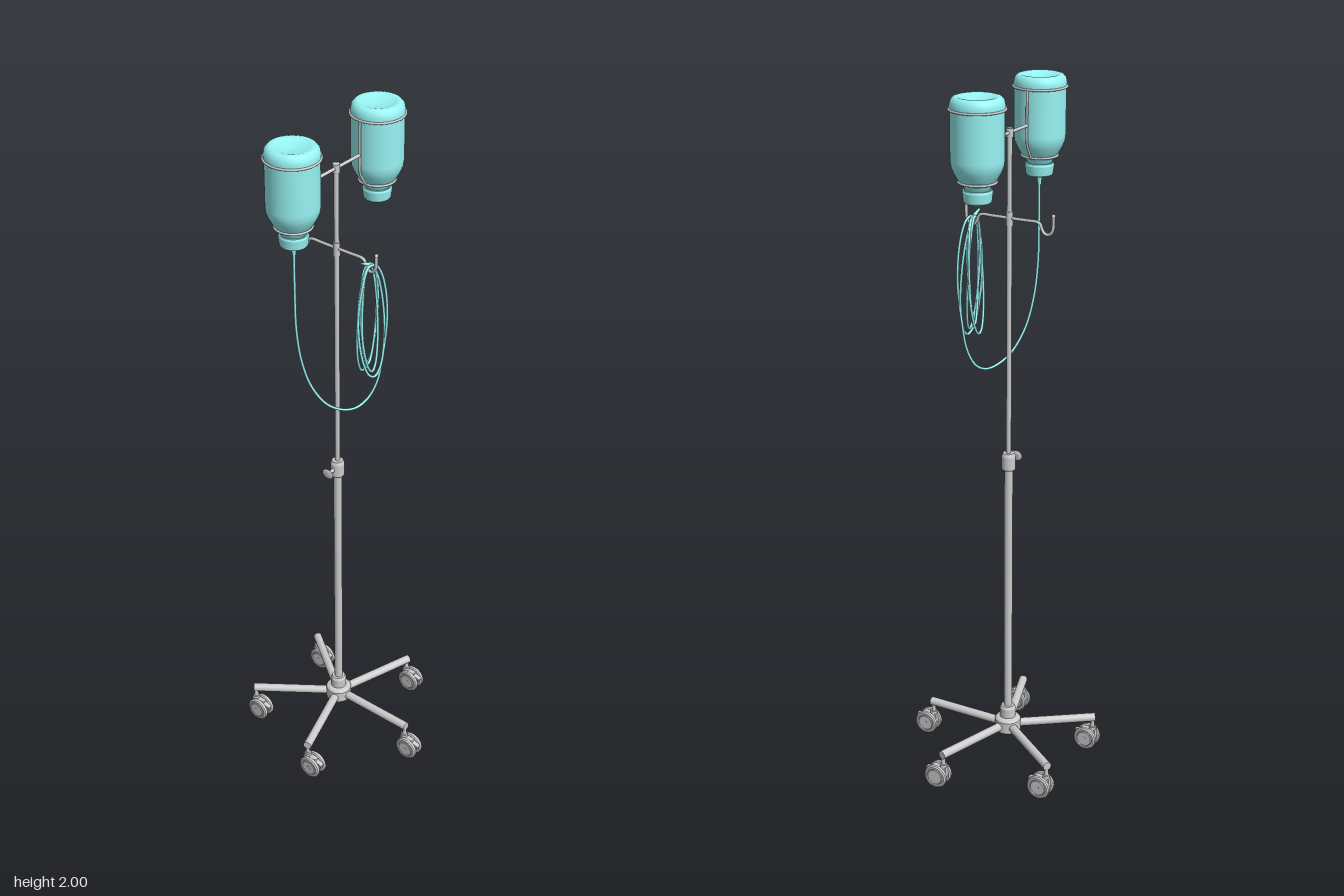
import * as THREE from 'three';

const PZ = -0.043; // z of the pole axis
const metal = new THREE.MeshStandardMaterial({ color: 0xcccccc });
const teal = new THREE.MeshStandardMaterial({ color: 0x99f5f5 });
const tealOpen = new THREE.MeshStandardMaterial({ color: 0x99f5f5, side: THREE.DoubleSide });
const V = (x, y, z) => new THREE.Vector3(x, y, z);

function add(parent, name, geometry, material = metal) {
  const mesh = new THREE.Mesh(geometry, material);
  mesh.name = name;
  parent.add(mesh);
  return mesh;
}

// Round bar between two points
function rod(parent, name, a, b, r, material = metal, r2 = r) {
  const d = b.clone().sub(a);
  const mesh = add(parent, name, new THREE.CylinderGeometry(r2, r, d.length(), 24), material);
  mesh.position.copy(a).addScaledVector(d, 0.5);
  mesh.quaternion.setFromUnitVectors(V(0, 1, 0), d.normalize());
  return mesh;
}

// Bent round bar through points
function bent(parent, name, points, r, segments, material = metal) {
  const curve = new THREE.CatmullRomCurve3(points, false, 'centripetal');
  return add(parent, name, new THREE.TubeGeometry(curve, segments, r, 8), material);
}

// Lathe with hard corners: each straight section is doubled at its ends
function turned(parent, name, profile, material = metal) {
  const pts = [];
  profile.forEach(([r, y], i) => {
    pts.push(new THREE.Vector2(r, y));
    if (i > 0 && i < profile.length - 1) pts.push(new THREE.Vector2(r, y + 1e-5));
  });
  return add(parent, name, new THREE.LatheGeometry(pts, 32), material);
}

// Twin-wheel caster, stem on the local origin, wheels trailing toward +z
function caster() {
  const g = new THREE.Group();
  g.name = 'caster';
  rod(g, 'casterStem', V(0, 0.05, 0), V(0, 0.1, 0), 0.006);
  rod(g, 'casterCollar', V(0, 0.062, 0), V(0, 0.074, 0), 0.01);
  const body = add(g, 'casterBody', new THREE.BoxGeometry(0.014, 0.03, 0.044));
  body.position.set(0, 0.05, 0.011);
  const lever = add(g, 'casterTab', new THREE.BoxGeometry(0.014, 0.006, 0.034));
  lever.position.set(0, 0.054, 0.038);
  lever.rotation.x = 0.25;
  rod(g, 'axle', V(-0.022, 0.035, 0.018), V(0.022, 0.035, 0.018), 0.006);
  for (const s of [-1, 1]) {
    const profile = [[0.001, -0.007], [0.022, -0.007], [0.024, -0.005], [0.026, -0.007], [0.031, -0.007],
      [0.035, -0.004], [0.035, 0.004], [0.031, 0.007], [0.026, 0.007], [0.024, 0.005], [0.022, 0.007], [0.001, 0.007]];
    const wheel = turned(g, 'wheel', profile);
    wheel.rotation.z = Math.PI / 2;
    wheel.position.set(s * 0.0145, 0.035, 0.018);
  }
  return g;
}

function createBase() {
  const g = new THREE.Group();
  g.name = 'base';
  turned(g, 'hub', [[0, 0.084], [0.034, 0.084], [0.038, 0.089], [0.038, 0.123], [0.034, 0.128], [0.023, 0.132],
    [0.023, 0.16], [0.019, 0.168], [0, 0.168]]);
  for (let i = 0; i < 5; i++) {
    const a = (i * Math.PI * 2) / 5;
    const at = (r, y) => V(Math.sin(a) * r, y, Math.cos(a) * r);
    rod(g, 'leg', at(0.02, 0.105), at(0.262, 0.105), 0.0125);
    const c = caster();
    c.position.copy(at(0.256, 0));
    g.add(c);
  }
  return g;
}

function createPole() {
  const g = new THREE.Group();
  g.name = 'pole';
  rod(g, 'lowerPole', V(0, 0.12, 0), V(0, 0.94, 0), 0.012);
  rod(g, 'upperPole', V(0, 0.9, 0), V(0, 1.88, 0), 0.007);
  turned(g, 'clampCollar', [[0, 0.925], [0.018, 0.925], [0.02, 0.929], [0.02, 0.965], [0.016, 0.975], [0, 0.975]]);
  rod(g, 'knobScrew', V(-0.015, 0.95, 0), V(-0.042, 0.95, 0), 0.005);
  // Flattened wing grip of the height screw
  const grip = add(g, 'knobGrip', new THREE.SphereGeometry(0.018, 20, 12));
  grip.scale.set(0.25, 0.85, 1.05);
  grip.position.set(-0.044, 0.95, 0);
  rod(g, 'crossbar', V(-0.096, 1.875, 0), V(0.096, 1.875, 0), 0.0045);
  rod(g, 'crossbarBoss', V(0, 1.863, 0), V(0, 1.887, 0), 0.01);
  rod(g, 'hookBoss', V(0, 1.625, 0), V(0, 1.665, 0), 0.0095);
  // Hook bar: one mirrored half per side
  for (const s of [-1, 1]) {
    const half = [[0, 1.647], [0.05, 1.647], [0.082, 1.647], [0.092, 1.642], [0.099, 1.626], [0.108, 1.617],
      [0.12, 1.618], [0.129, 1.63], [0.131, 1.648], [0.131, 1.668]];
    bent(g, 'hook', half.map(([z, y]) => V(0, y, s * z)), 0.0045, 48);
    const tip = add(g, 'hookTip', new THREE.SphereGeometry(0.0055, 12, 8));
    tip.position.set(0, 1.668, s * 0.131);
  }
  return g;
}

// Upturned bottle with its ring holder; s is the side (+1 left, -1 right)
function createBottle(s) {
  const g = new THREE.Group();
  g.name = s > 0 ? 'leftBottle' : 'rightBottle';
  const profile = [[0, 1.758], [0.034, 1.758], [0.036, 1.77], [0.042, 1.776], [0.052, 1.79], [0.062, 1.808],
    [0.068, 1.823], [0.07, 1.84], [0.07, 1.962], [0.0715, 1.966], [0.0715, 1.978], [0.069, 1.99],
    [0.062, 1.998], [0.054, 2.0], [0.046, 1.998], [0.03, 1.993], [0, 1.99]];
  add(g, 'bottle', new THREE.LatheGeometry(profile.map(([r, y]) => new THREE.Vector2(r, y)), 48), teal);
  turned(g, 'cap', [[0, 1.728], [0.034, 1.728], [0.037, 1.732], [0.04, 1.756], [0.038, 1.762], [0, 1.762]], teal);
  for (const [r, y] of [[0.0725, 1.968], [0.049, 1.782]]) {
    const ring = add(g, 'holderRing', new THREE.TorusGeometry(r, 0.0033, 8, 48));
    ring.rotation.x = Math.PI / 2;
    ring.position.y = y;
  }
  const strap = [[0.0735, 1.968], [0.0745, 1.95], [0.0745, 1.9], [0.0745, 1.84], [0.072, 1.82], [0.062, 1.802], [0.049, 1.782]];
  bent(g, 'holderStrap', strap.map(([r, y]) => V(-s * r, y, 0)), 0.0035, 32);
  g.position.set(s * 0.17, 0, PZ);
  return g;
}

function createTubing() {
  const g = new THREE.Group();
  g.name = 'tubing';
  rod(g, 'outlet', V(-0.17, 1.7, PZ), V(-0.17, 1.73, PZ), 0.005, teal, 0.008);
  // Long drop from the bottle, then the coil over the front hook
  const pts = [V(-0.17, 1.72, PZ), V(-0.17, 1.6, PZ), V(-0.168, 1.48, -0.042), V(-0.157, 1.38, -0.035),
    V(-0.135, 1.295, -0.02), V(-0.1, 1.232, 0.004), V(-0.06, 1.204, 0.027), V(-0.025, 1.2, 0.044),
    V(0.008, 1.22, 0.058), V(0.03, 1.27, 0.072), V(0.042, 1.35, 0.08)];
  const turns = 4.3, steps = 70;
  for (let i = 0; i <= steps; i++) {
    const t = i / steps, a = -0.25 + t * turns * Math.PI * 2;
    const rx = 0.045 + 0.004 * Math.sin(a * 0.37), ry = 0.16 + 0.008 * Math.sin(a * 0.29);
    const z = 0.08 - 0.024 * t + 0.011 * Math.cos(a + 5 * t);
    pts.push(V(rx * Math.cos(a), 1.638 - ry + ry * Math.sin(a), z));
  }
  bent(g, 'tube', pts, 0.0037, 480, tealOpen);
  // Fitting on the free end
  const end = pts[pts.length - 1], before = pts[pts.length - 2];
  const dir = end.clone().sub(before).normalize();
  rod(g, 'endFitting', end, end.clone().addScaledVector(dir, 0.03), 0.0055, teal, 0.003);
  return g;
}

export function createModel() {
  const model = new THREE.Group();
  model.name = 'infusionStand';
  for (const part of [createBase(), createPole()]) {
    part.position.z = PZ;
    model.add(part);
  }
  model.add(createBottle(1), createBottle(-1), createTubing());
  return model;
}
